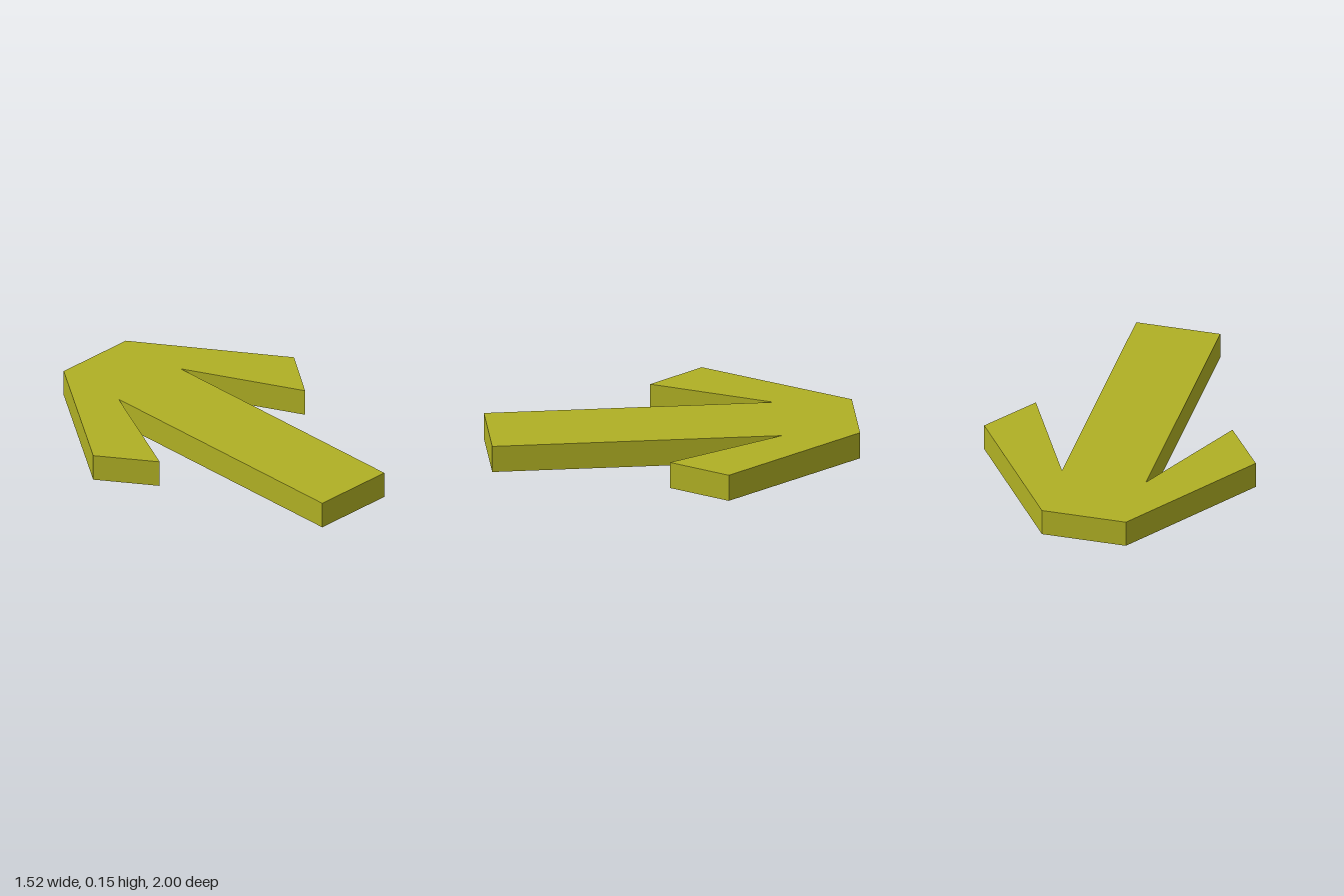
import * as THREE from 'three';

export function createModel() {
  const model = new THREE.Group();
  model.name = 'arrow';

  const olive = new THREE.MeshStandardMaterial({ color: 0xb0b024 });
  olive.name = 'olive yellow';

  // Right half of the outline as [x, z], from the blunt tip to the shaft end
  const half = [
    [0.235, -1],     // tip corner
    [0.76, -0.235],  // outer barb corner
    [0.55, 0.065],   // barb point
    [0.235, -0.575], // notch beside the shaft
    [0.235, 1],      // shaft end
  ];
  const mirrored = half.map(([x, z]) => [-x, z]).reverse();
  const outline = [...half, ...mirrored].map(([x, z]) => new THREE.Vector2(x, -z));

  // Flat slab, laid down so that its thickness runs up from y = 0
  const geometry = new THREE.ExtrudeGeometry(new THREE.Shape(outline), {
    depth: 0.15,
    bevelEnabled: false,
  });
  geometry.rotateX(-Math.PI / 2);

  const slab = new THREE.Mesh(geometry, olive);
  slab.name = 'arrowSlab';
  model.add(slab);

  return model;
}
